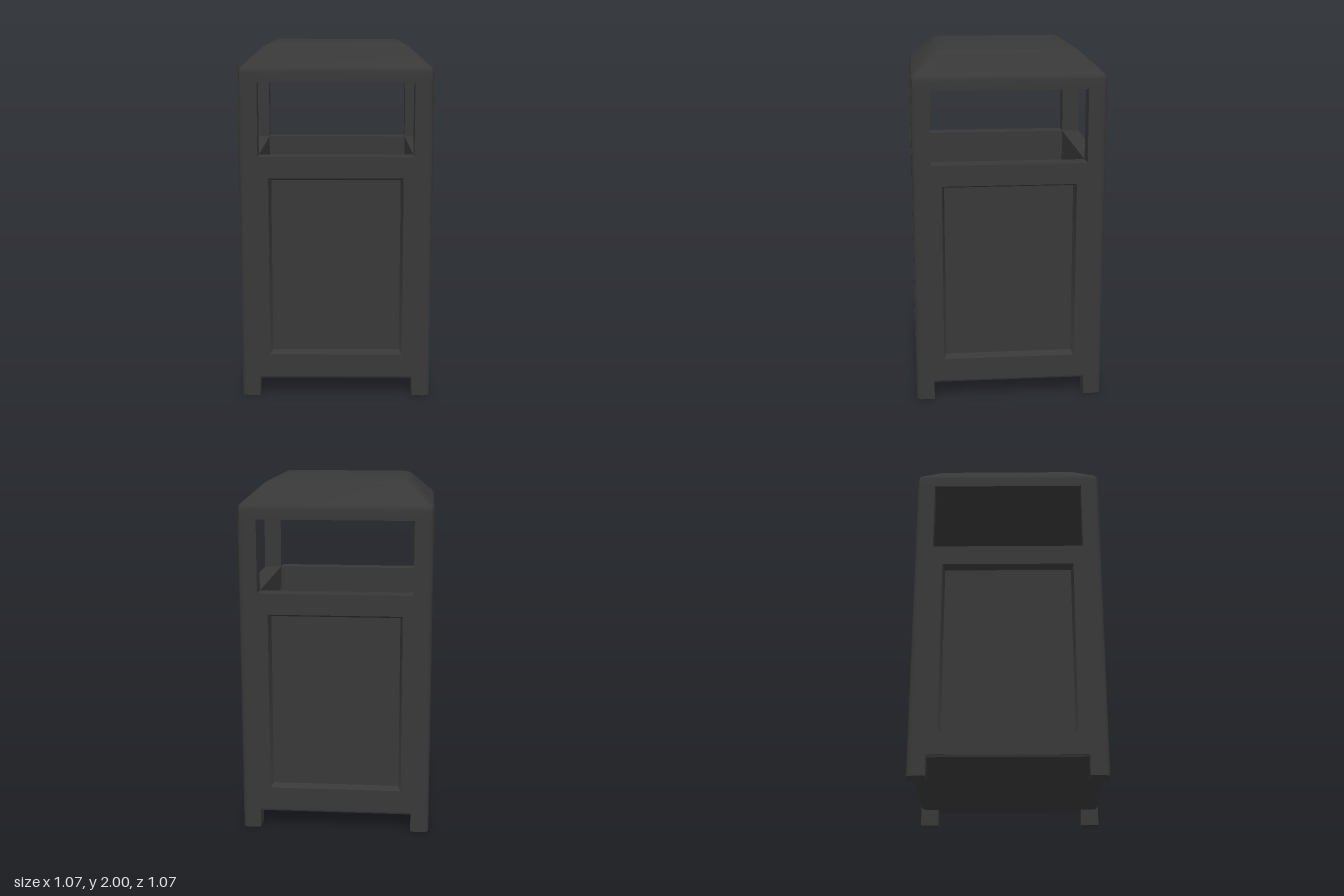
import * as THREE from 'three';
import { toCreasedNormals } from 'three/addons/utils/BufferGeometryUtils.js';

const H = 0.537;   // half width of the bin
const IN = 0.433;  // inner face of posts and walls

// Square ring of half sizes w, h with corners rounded by c, counter-clockwise, at depth z
function ring(w, h, c, z, cy = 0) {
  const corner = [[0, c], [0.3 * c, 0.3 * c], [c, 0]];
  const pts = [];
  for (const [sx, sy] of [[1, 1], [-1, 1], [-1, -1], [1, -1]]) {
    const list = sx * sy > 0 ? corner : [...corner].reverse();
    for (const [dx, dy] of list) pts.push([sx * (w - dx), cy + sy * (h - dy), z]);
  }
  return pts;
}

// Skin a stack of rings, closing the last and optionally the first
function loft(rings, closeFirst) {
  const n = rings[0].length, index = [];
  for (let k = 0; k < rings.length - 1; k++) {
    for (let j = 0; j < n; j++) {
      const a = k * n + j, b = k * n + (j + 1) % n;
      index.push(a, b, b + n, a, b + n, a + n);
    }
  }
  const last = (rings.length - 1) * n;
  for (let j = 1; j < n - 1; j++) {
    index.push(last, last + j, last + j + 1);
    if (closeFirst) index.push(0, j + 1, j);
  }
  const g = new THREE.BufferGeometry();
  g.setAttribute('position', new THREE.Float32BufferAttribute(rings.flat(2), 3));
  g.setIndex(index);
  return toCreasedNormals(g, 0.7);
}

function rectangle(target, x, y0, y1) {
  target.moveTo(-x, y0);
  target.lineTo(x, y0);
  target.lineTo(x, y1);
  target.lineTo(-x, y1);
  target.closePath();
  return target;
}

export function createModel() {
  const model = new THREE.Group();
  model.name = 'litterBin';
  const metal = new THREE.MeshStandardMaterial({ color: 0x383838 });
  metal.name = 'charcoal metal';

  const add = (parent, name, geometry) => {
    const mesh = new THREE.Mesh(geometry, metal);
    mesh.name = name;
    parent.add(mesh);
    return mesh;
  };

  // Corner post with a rounded outer edge, running from foot to roof
  const post = new THREE.Shape();
  post.moveTo(IN, IN);
  post.lineTo(H, IN);
  post.lineTo(H, H - 0.035);
  post.quadraticCurveTo(H, H, H - 0.035, H);
  post.lineTo(IN, H);
  post.closePath();
  const postGeometry = toCreasedNormals(
    new THREE.ExtrudeGeometry(post, { depth: 1.8, bevelEnabled: false, curveSegments: 4 })
      .rotateX(-Math.PI / 2), 0.7);

  // Wall frame with an opening for the recessed panel
  const frame = rectangle(new THREE.Shape(), IN, 0.115, 1.38);
  frame.holes.push(rectangle(new THREE.Path(), 0.375, 0.245, 1.262));
  const frameGeometry = new THREE.ExtrudeGeometry(frame, { depth: H - IN, bevelEnabled: false })
    .translate(0, 0, IN);

  // Recessed panel with slightly sloping edges
  const cy = (0.245 + 1.262) / 2, ph = (1.262 - 0.245) / 2;
  const panelGeometry = loft([
    ring(0.375, ph, 0.0005, H, cy),
    ring(0.361, ph - 0.016, 0.0005, H - 0.045, cy),
  ]);
  const liningGeometry = new THREE.BoxGeometry(0.8, 1.1, 0.03).translate(0, cy, IN + 0.016);

  for (let i = 0; i < 4; i++) {
    const side = new THREE.Group();
    side.name = ['frontSide', 'leftSide', 'backSide', 'rightSide'][i];
    side.rotation.y = i * Math.PI / 2;
    add(side, 'cornerPost', postGeometry);
    add(side, 'wallFrame', frameGeometry);
    add(side, 'recessedPanel', panelGeometry);
    add(side, 'innerLining', liningGeometry);
    model.add(side);
  }

  // Floor slab with an eased lower edge
  const e = H - 0.0005;
  add(model, 'floor', loft([
    ring(e - 0.02, e - 0.02, 0.03, 0.097),
    ring(e - 0.006, e - 0.006, 0.035, 0.103),
    ring(e, e, 0.036, 0.118),
    ring(e, e, 0.036, 0.14),
  ], true).rotateX(-Math.PI / 2));

  // Hipped roof: upright rim, eased shoulder, slope and flat top
  const profile = [
    [H, 0.035, 1.79], [H, 0.035, 1.845], [0.534, 0.032, 1.859], [0.525, 0.024, 1.872],
    [0.408, 0.008, 1.974], [0.392, 0.006, 1.986], [0.375, 0.005, 1.995], [0.35, 0.004, 2],
  ];
  add(model, 'roof', loft(profile.map(([h, c, y]) => ring(h, h, c, y)), true)
    .rotateX(-Math.PI / 2));

  return model;
}
